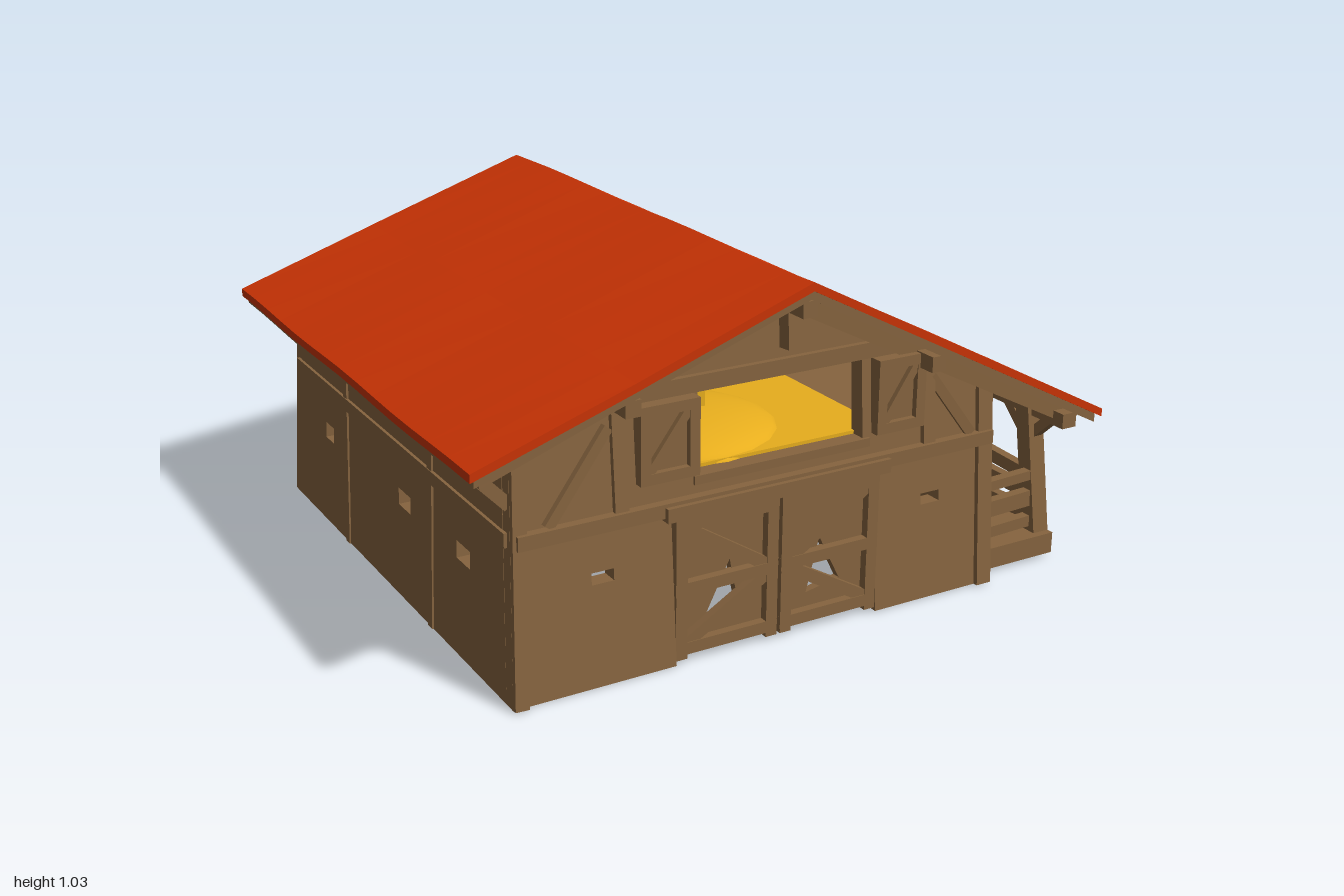
import * as THREE from 'three';

export function createModel() {
  const root = new THREE.Group();
  root.name = 'barn';
  const mat = (name, color) => Object.assign(new THREE.MeshStandardMaterial({ color }), { name });
  const wood = mat('brown wood', 0x86643f);
  const red = mat('red roofing', 0xc93305);
  const yellow = mat('golden hay', 0xeab01e);

  const add = (name, geo, m = wood) => {
    const mesh = new THREE.Mesh(geo, m);
    mesh.name = name;
    root.add(mesh);
    return mesh;
  };
  const box = (name, x0, x1, y0, y1, z0, z1, m) => {
    const g = new THREE.BoxGeometry(x1 - x0, y1 - y0, z1 - z0);
    g.translate((x0 + x1) / 2, (y0 + y1) / 2, (z0 + z1) / 2);
    return add(name, g, m);
  };
  // timber running from point a to point b; steep ones keep their faces square to the walls
  const beam = (name, a, b, w = 0.04, h = w) => {
    const A = new THREE.Vector3(...a), B = new THREE.Vector3(...b);
    const length = A.distanceTo(B);
    const mesh = add(name, new THREE.BoxGeometry(w, h, length));
    mesh.position.copy(A).add(B).multiplyScalar(0.5);
    if (Math.abs(B.y - A.y) > 0.95 * length) mesh.up.set(0, 0, 1);
    mesh.lookAt(B);
    return mesh;
  };
  const poly = (pts) => new THREE.Shape(pts.map((p) => new THREE.Vector2(...p)));
  const rect = (x0, x1, y0, y1) => poly([[x0, y0], [x1, y0], [x1, y1], [x0, y1]]);
  const extrude = (shape, depth, holes = [], steps = 1) => {
    shape.holes.push(...holes);
    return new THREE.ExtrudeGeometry(shape, { depth, steps, bevelEnabled: false });
  };
  // move every vertex by a rule
  const warp = (g, fn) => {
    const p = g.attributes.position, v = new THREE.Vector3();
    for (let i = 0; i < p.count; i++) {
      fn(v.fromBufferAttribute(p, i));
      p.setXYZ(i, v.x, v.y, v.z);
    }
    g.computeVertexNormals();
    return g;
  };

  // roof: slightly sagging red covering over wooden boards
  const ridge = -0.03;
  const roofY = (x) => 1.022 - (x < ridge ? 0.342 * (ridge - x) : 0.513 * (x - ridge));
  const roofLayer = (name, top, thick, xl, xr, zHalf, m) => {
    const xs = [xl, -0.55, ridge, 0.45, xr];
    const line = (d) => xs.map((x) => [x, roofY(x) - d]);
    const g = extrude(poly([...line(top + thick), ...line(top).reverse()]), zHalf * 2, [], 14);
    g.translate(0, 0, -zHalf);
    add(name, warp(g, (v) => { v.y += 0.003 * Math.sin(v.z * 8 + v.x * 5); }), m);
  };
  roofLayer('roofCovering', 0, 0.024, -1, 1, 0.885, red);
  roofLayer('roofBoards', 0.024, 0.026, -0.985, 0.985, 0.872, wood);

  // gable walls, leaning slightly inwards
  const outline = (door) => poly([[-0.88, 0], ...(door ? [[-0.4, 0], [-0.4, 0.43], [0.25, 0.43], [0.25, 0]] : []),
    [0.65, 0], [0.65, 0.63], [ridge, 0.98], [-0.85, 0.7]]);
  const lean = 0.075;
  const wallZ = (y) => 0.83 - lean * y;
  const slots = () => [rect(-0.64, -0.575, 0.285, 0.318), rect(0.41, 0.475, 0.285, 0.318)];
  const gable = (name, s, holes) => {
    const g = extrude(outline(s > 0), 0.05, holes);
    g.translate(0, 0, s > 0 ? 0.78 : -0.83);
    add(name, warp(g, (v) => { v.z -= s * lean * v.y; }));
  };
  gable('frontWall', 1, [...slots(), rect(-0.31, 0.21, 0.52, 0.75)]);
  gable('backWall', -1, slots());

  // side walls with windows, each hole given as [z centre, half width, bottom, top]
  const sideWall = (name, x, slope, h, windows) => {
    const holes = windows.map(([z, r, y0 = 0.28, y1 = 0.33]) => rect(-z - r, -z + r, y0, y1));
    const g = extrude(rect(-0.79, 0.79, 0, h), 0.05, holes);
    g.rotateY(Math.PI / 2);
    g.translate(x, 0, 0);
    add(name, warp(g, (v) => {
      v.x += slope * v.y;
      v.z *= 1 - 0.09 * v.y;
    }));
  };
  sideWall('leftSideWall', -0.88, 0.04, 0.685, [[0.53, 0.045], [0.11, 0.045], [-0.52, 0.035]]);
  sideWall('porchSideWall', 0.6, 0, 0.63, [[0.53, 0.045], [-0.28, 0.13, 0.23, 0.34]]);

  // timber framing repeated on both gables
  for (const s of [1, -1]) {
    const on = (name, x0, y0, x1, y1, w = 0.03, h = 0.045) =>
      beam(name, [x0, y0, s * wallZ(y0)], [x1, y1, s * wallZ(y1)], w, h);
    on('crossBeam', -0.85, 0.45, 0.65, 0.45, 0.05, 0.04);
    on('gableKingPost', ridge, 0.82, ridge, 0.97, 0.05, 0.09);
    on('upperBeam', -0.62, 0.77, 0.35, 0.77);
    on('leftCornerPost', -0.86, 0, -0.83, 0.68, 0.04, 0.03);
    on('rightCornerPost', 0.63, 0, 0.63, 0.62, 0.05, 0.03);
    on('leftRafter', -0.95, roofY(-0.95) - 0.07, ridge, 0.95, 0.05, 0.05);
    on('rightRafter', 0.96, roofY(0.96) - 0.065, ridge, 0.95, 0.05, 0.05);
    on('leftBrace', -0.76, 0.47, -0.58, 0.7, 0.03, 0.03);
    on('rightBrace', 0.58, 0.47, 0.44, 0.66, 0.03, 0.03);
    on('leftStud', -0.55, 0.46, -0.55, 0.8, 0.04, 0.03);
    on('rightStud', 0.43, 0.46, 0.43, 0.74, 0.04, 0.03);
    // timbers that carry the overhang
    for (const x of [-0.55, ridge, 0.4])
      beam('purlin', [x, roofY(x) - 0.075, s * 0.72], [x, roofY(x) - 0.075, s * 0.87], 0.045);
  }

  // front double doors with braced panels
  const doorZ = 0.775;
  for (const [x0, x1, d] of [[-0.4, -0.08, 1], [-0.07, 0.25, -1]]) {
    const mid = (x0 + x1) / 2;
    const gap = poly([[mid - 0.06, 0.1], [mid + 0.05, 0.12], [mid + d * 0.02, 0.26]]);
    const g = extrude(rect(x0, x1, 0.01, 0.425), 0.025, [gap]);
    g.translate(0, 0, doorZ);
    add('doorLeaf', g);
    const z = doorZ + 0.035;
    for (const y of [0.04, 0.215, 0.4]) beam('doorRail', [x0, y, z], [x1, y, z], 0.03, 0.035);
    for (const x of [x0 + 0.018, x1 - 0.018]) beam('doorStile', [x, 0.01, z], [x, 0.42, z], 0.035, 0.03);
    beam('doorBrace', [mid - d * 0.13, 0.39, z], [mid + d * 0.13, 0.225, z], 0.025, 0.035);
    beam('doorBrace', [mid + d * 0.13, 0.2, z], [mid - d * 0.13, 0.05, z], 0.025, 0.035);
  }
  beam('doorLintel', [-0.43, 0.44, 0.81], [0.28, 0.44, 0.81], 0.05, 0.04);

  // loft shutters, folded open
  for (const [x0, x1] of [[-0.5, -0.325], [0.24, 0.4]]) {
    box('shutter', x0, x1, 0.53, 0.745, 0.775, 0.8);
    const z = 0.805;
    for (const y of [0.545, 0.73]) beam('shutterRail', [x0, y, z], [x1, y, z], 0.025, 0.03);
    for (const x of [x0 + 0.015, x1 - 0.015]) beam('shutterStile', [x, 0.53, z], [x, 0.745, z], 0.03, 0.025);
    beam('shutterBrace', [x0 + 0.02, 0.55, z], [x1 - 0.02, 0.73, z], 0.02, 0.025);
  }
  box('loftSill', -0.33, 0.23, 0.495, 0.52, 0.74, 0.8);

  // hay loft: a spread layer, a heap and a bale
  box('loftFloor', -0.5, 0.6, 0.47, 0.5, 0.2, 0.74);
  box('hayLayer', -0.48, 0.3, 0.5, 0.53, 0.2, 0.75, yellow);
  const heap = new THREE.SphereGeometry(1, 20, 8, 0, Math.PI * 2, 0, Math.PI / 2);
  heap.scale(0.3, 0.075, 0.29);
  heap.translate(-0.2, 0.51, 0.47);
  add('hayHeap', heap, yellow);
  box('hayBale', -0.29, -0.12, 0.5, 0.735, 0.2, 0.5, yellow);

  // back door and side planks
  box('backDoor', -0.32, 0.3, 0.01, 0.42, -0.835, -0.79);
  for (const x of [-0.33, 0, 0.31]) beam('backDoorPost', [x, 0, -0.83], [x, 0.44, -0.805], 0.035, 0.03);
  for (const x of [-0.35, 0.22])
    beam('backGablePost', [x, 0.46, -0.795], [x, roofY(x) - 0.06, -0.77], 0.035, 0.03);
  for (const z of [-0.35, 0.3])
    beam('sideStud', [-0.87, 0, z], [-0.845, 0.68, z], 0.03, 0.03);
  beam('sideBeam', [-0.855, 0.45, -0.78], [-0.855, 0.45, 0.78], 0.03, 0.04);

  // eave brackets on the left side
  for (const z of [-0.76, -0.26, 0.26, 0.76])
    beam('eaveBracket', [-0.85, 0.54, z], [-0.95, 0.645, z], 0.035);

  // porch: deck, posts, knee braces and eave beam
  box('porchDeck', 0.6, 0.935, 0.01, 0.075, -0.79, 0.79);
  beam('porchEaveBeam', [0.9, 0.465, -0.86], [0.9, 0.465, 0.86], 0.05, 0.045);
  const posts = [-0.72, -0.24, 0.24, 0.72];
  for (const z of posts) {
    const out = Math.abs(z) > 0.5 ? Math.sign(z) * 0.025 : 0;
    const top = z - out;
    beam('porchPost', [0.91, 0.03, z + out], [0.89, 0.47, top], 0.055);
    for (const d of [-1, 1])
      beam('kneeBrace', [0.9, 0.36, top], [0.9, 0.455, top + d * 0.1], 0.03);
    beam('porchRafter', [0.64, 0.6, z], [0.95, 0.455, z], 0.035);
  }

  // porch rails, each slightly crooked, with a broad board in the middle bay
  for (let i = 0; i < 3; i++)
    [0.11, 0.185, 0.25].forEach((y, k) => {
      const t = 0.01 * Math.sin(i * 2.3 + k * 1.7);
      beam('porchRail', [0.905, y + t, posts[i]], [0.905, y - t, posts[i + 1]], 0.03, i * k === 1 ? 0.08 : 0.04);
    });
  for (const s of [-1, 1])
    for (const [y, h] of [[0.1, 0.035], [0.175, 0.05], [0.25, 0.03]])
      beam('porchEndRail', [0.65, y, s * 0.73], [0.89, y + 0.008, s * 0.73], 0.03, h);

  return root;
}
